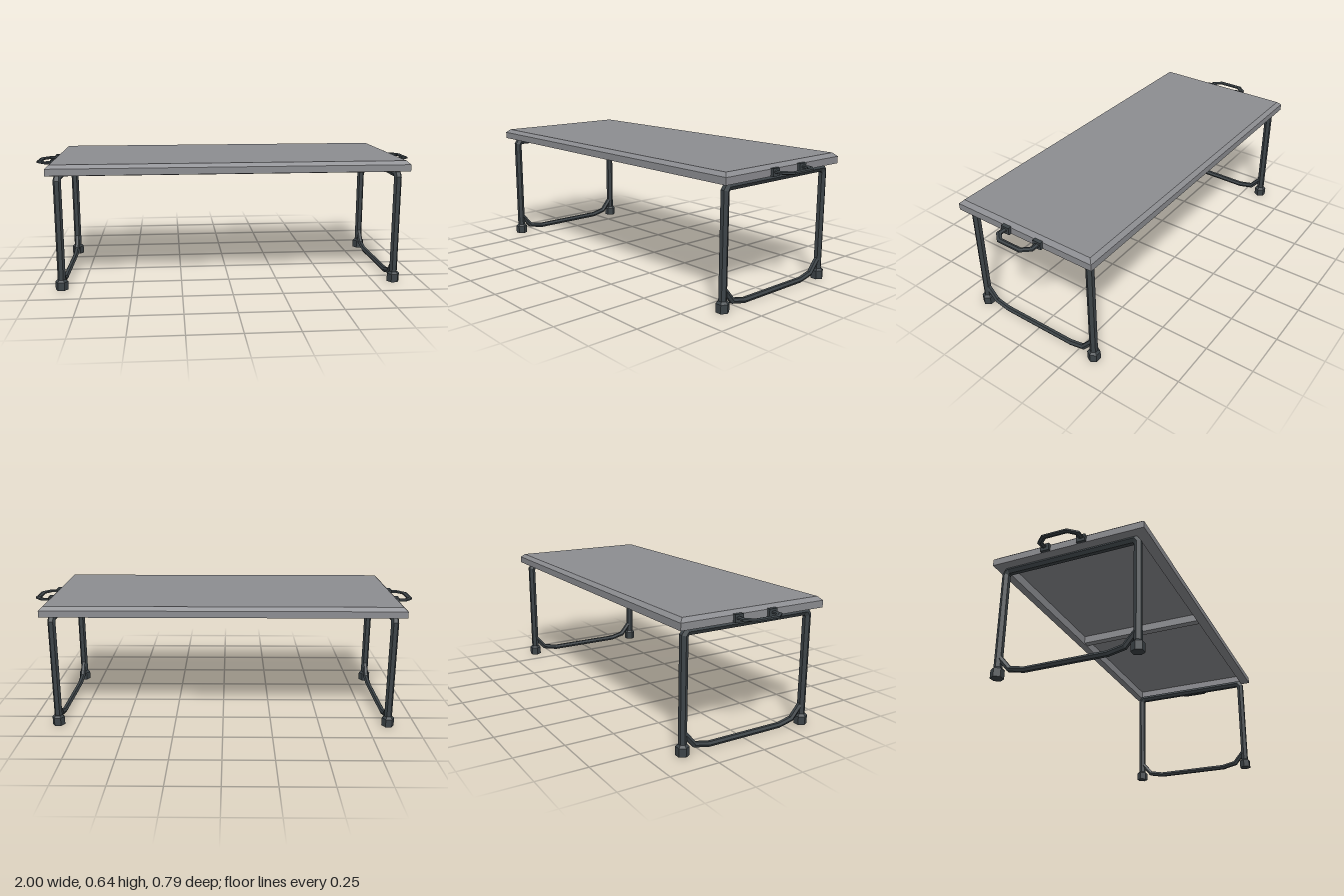
import * as THREE from 'three';

const grey = new THREE.MeshStandardMaterial({ color: 0x8c8d91 });
grey.name = 'top grey';
const dark = new THREE.MeshStandardMaterial({ color: 0x3c4347 });
dark.name = 'frame dark';

// Faceted normals for a low-poly look
function facet(geo) {
  const g = geo.index ? geo.toNonIndexed() : geo;
  g.computeVertexNormals();
  return g;
}

function add(parent, name, geo, mat, x = 0, y = 0, z = 0) {
  const m = new THREE.Mesh(facet(geo), mat);
  m.name = name;
  m.position.set(x, y, z);
  parent.add(m);
  return m;
}

// Closed-ended loft through rings, each ring an array of Vector3 of equal length
function loft(rings) {
  const n = rings[0].length, pos = [], idx = [];
  rings.forEach(r => r.forEach(p => pos.push(p.x, p.y, p.z)));
  for (let i = 0; i < rings.length - 1; i++) {
    for (let j = 0; j < n; j++) {
      const a = i * n + j, b = i * n + (j + 1) % n;
      idx.push(a, b, a + n, b, b + n, a + n);
    }
  }
  const last = (rings.length - 1) * n;
  for (let j = 1; j < n - 1; j++) {
    idx.push(0, j + 1, j, last, last + j, last + j + 1);
  }
  const g = new THREE.BufferGeometry();
  g.setAttribute('position', new THREE.Float32BufferAttribute(pos, 3));
  g.setIndex(idx);
  return g;
}

// Hexagonal bar along a path in the XY plane, with mitred bends
function hexBar(path, radius, depth = radius) {
  const pts = path.map(p => new THREE.Vector2(p[0], p[1]));
  const rings = pts.map((p, i) => {
    const before = i > 0 ? p.clone().sub(pts[i - 1]).normalize() : null;
    const after = i < pts.length - 1 ? pts[i + 1].clone().sub(p).normalize() : null;
    const dir = (before || after).clone().add(after || before).normalize();
    const stretch = 1 / dir.dot(before || after);
    return Array.from({ length: 6 }, (_, k) => {
      const a = -Math.PI / 6 - k * Math.PI / 3;
      const side = Math.cos(a) * radius * stretch;
      return new THREE.Vector3(p.x + dir.y * side, p.y - dir.x * side, Math.sin(a) * depth);
    });
  });
  return loft(rings);
}

// Half a path followed by its mirror image across x = 0
const mirrorPath = half => [...half, ...half.slice().reverse().map(([x, y]) => [-x, y])];

export function createModel() {
  const table = new THREE.Group();
  table.name = 'foldingTable';

  // Bevelled top with a sloping lip and a recessed underside
  const rect = ([hx, hz, y]) => [[-1, 1], [-1, -1], [1, -1], [1, 1]]
    .map(([sx, sz]) => new THREE.Vector3(sx * hx, y, sz * hz));
  add(table, 'tableTop', loft([
    [0.885, 0.375, 0.64], [0.905, 0.394, 0.622], [0.905, 0.394, 0.588],
    [0.86, 0.347, 0.579], [0.86, 0.347, 0.628],
  ].map(rect)), grey);
  add(table, 'crossBar', new THREE.BoxGeometry(0.04, 0.044, 0.7), grey, 0, 0.608, 0);

  for (const s of [-1, 1]) {
    const end = new THREE.Group();
    end.name = s > 0 ? 'leftEnd' : 'rightEnd';
    table.add(end);
    const x = s * 0.855;

    // Bent leg frame
    const frame = hexBar(mirrorPath([[0.345, 0.03], [0.345, 0.55], [0.332, 0.568]]), 0.02);
    add(end, 'legFrame', frame.rotateY(-Math.PI / 2), dark, x);

    // Low brace between the legs
    const brace = hexBar(mirrorPath([[0.345, 0.108], [0.328, 0.09], [0.283, 0.037], [0.205, 0.02]]), 0.0145);
    add(end, 'lowerBrace', brace.rotateY(-Math.PI / 2), dark, x);

    // Feet
    for (const z of [-0.345, 0.345]) {
      const foot = new THREE.LatheGeometry([
        [0, 0], [0.032, 0], [0.032, 0.042], [0.021, 0.053], [0, 0.053],
      ].map(p => new THREE.Vector2(...p)), 6);
      add(end, 'foot', foot.rotateY(Math.PI / 6), dark, x, 0, z);
    }

    // Flattened carrying handle, reaching outward along x, with two brackets
    const handle = hexBar(mirrorPath([[0.097, 0.9], [0.097, 0.955], [0.06, 0.988]]), 0.0138, 0.008);
    handle.rotateX(Math.PI / 2).rotateY(s * Math.PI / 2);
    add(end, 'handle', handle, dark, 0, 0.609, -0.009);
    for (const z of [-0.094, 0.094]) {
      add(end, 'handleBracket', new THREE.BoxGeometry(0.03, 0.037, 0.045), dark, s * 0.905, 0.607, z - 0.009);
    }
  }
  return table;
}
